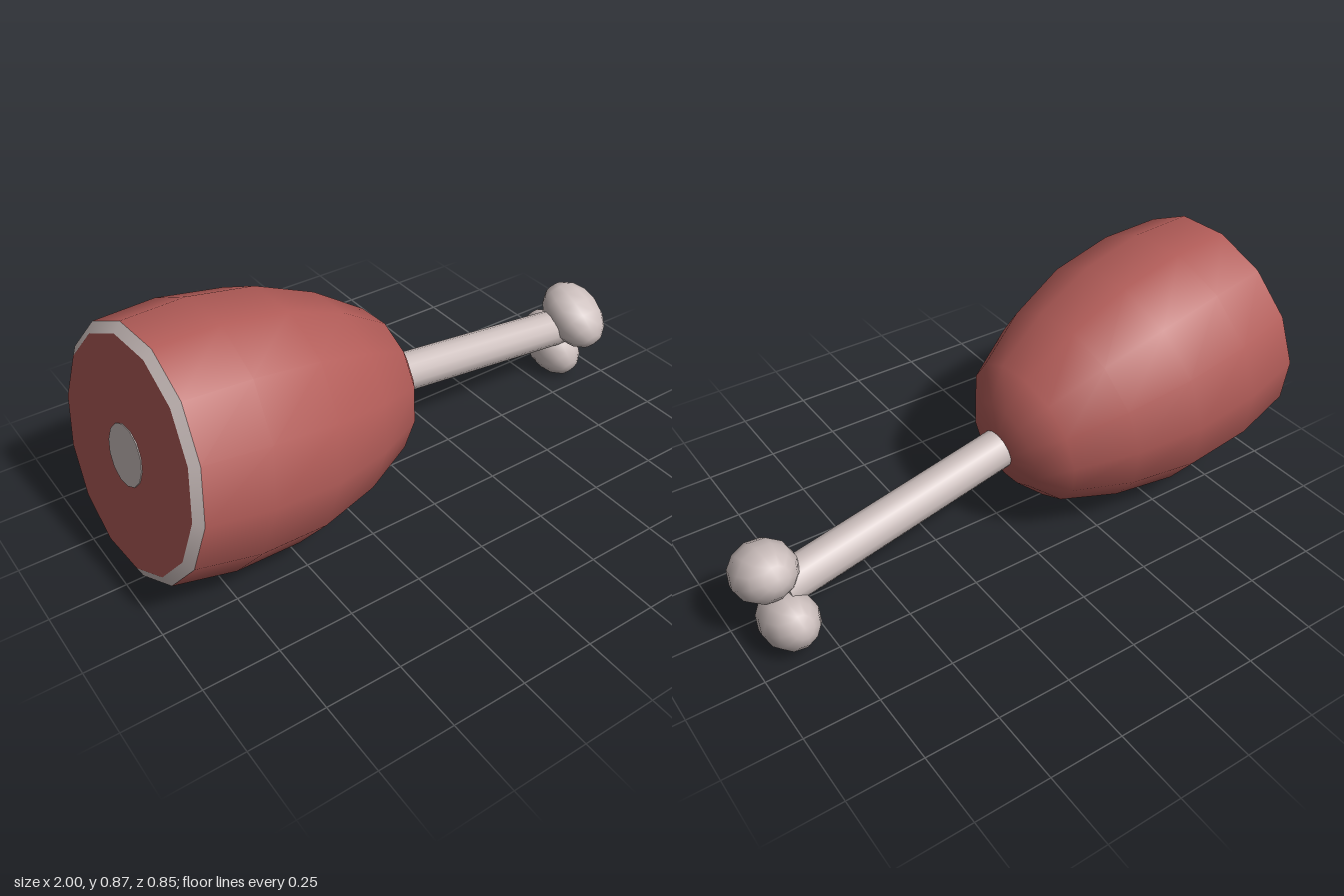
import * as THREE from 'three';

export function createModel() {
  const meat = new THREE.MeshStandardMaterial({ color: 0xb25c58 });
  meat.name = 'meat red';
  const bone = new THREE.MeshStandardMaterial({ color: 0xcdc0be });
  bone.name = 'bone white';

  const model = new THREE.Group();
  model.name = 'meatOnBone';

  const add = (parent, name, geometry, material) => {
    const mesh = new THREE.Mesh(geometry, material);
    mesh.name = name;
    parent.add(mesh);
    return mesh;
  };
  const lathe = (points) =>
    new THREE.LatheGeometry(points.map(([r, t]) => new THREE.Vector2(r, t)), 14);

  // Tilted frame: local y runs along the bone, starting at the cut face
  const axis = new THREE.Vector3(1, -0.16, -0.067).normalize();
  const side = new THREE.Vector3(0, 0, 1).addScaledVector(axis, -axis.z).normalize();
  const across = new THREE.Vector3().crossVectors(axis, side);
  const leg = new THREE.Group();
  leg.name = 'leg';
  leg.quaternion.setFromRotationMatrix(new THREE.Matrix4().makeBasis(across, axis, side));
  leg.position.set(-0.92, 0.485, 0.008);
  model.add(leg);

  // Rounded meat, tapering to the bone
  add(leg, 'meatBody', lathe([
    [0.398, 0], [0.426, 0.212], [0.414, 0.446], [0.353, 0.664],
    [0.26, 0.857], [0.16, 0.937], [0.06, 0.968], [0, 0.972],
  ]), meat);

  // Cut end: pale bevelled rim, red face and bone core
  add(leg, 'fatRim', lathe([[0.365, -0.02], [0.398, 0]]), bone);
  add(leg, 'cutFace', lathe([[0, -0.02], [0.365, -0.02]]), meat);
  add(leg, 'boneCore', new THREE.CylinderGeometry(0.097, 0.097, 0.004, 14), bone)
    .position.y = -0.021;

  // Bone shaft
  add(leg, 'boneShaft', new THREE.CylinderGeometry(0.068, 0.068, 0.9, 14), bone)
    .position.y = 1.35;

  // Two egg-shaped knobs side by side at the end of the bone
  const long = new THREE.Vector3(0, 0.46, -0.89);
  long.addScaledVector(axis, -long.dot(axis)).normalize();
  const wide = new THREE.Vector3().crossVectors(axis, long);
  const turn = new THREE.Matrix4().makeBasis(axis, long, wide);
  const knobs = [
    ['upperKnob', [0.893, 0.257, -0.075], [0.107, 0.14, 0.097]],
    ['lowerKnob', [0.864, 0.106, -0.152], [0.093, 0.14, 0.1]],
  ];
  for (const [name, position, radii] of knobs) {
    const knob = add(model, name, new THREE.SphereGeometry(1, 12, 8), bone);
    knob.scale.set(...radii);
    knob.quaternion.setFromRotationMatrix(turn);
    knob.position.set(...position);
  }

  return model;
}
